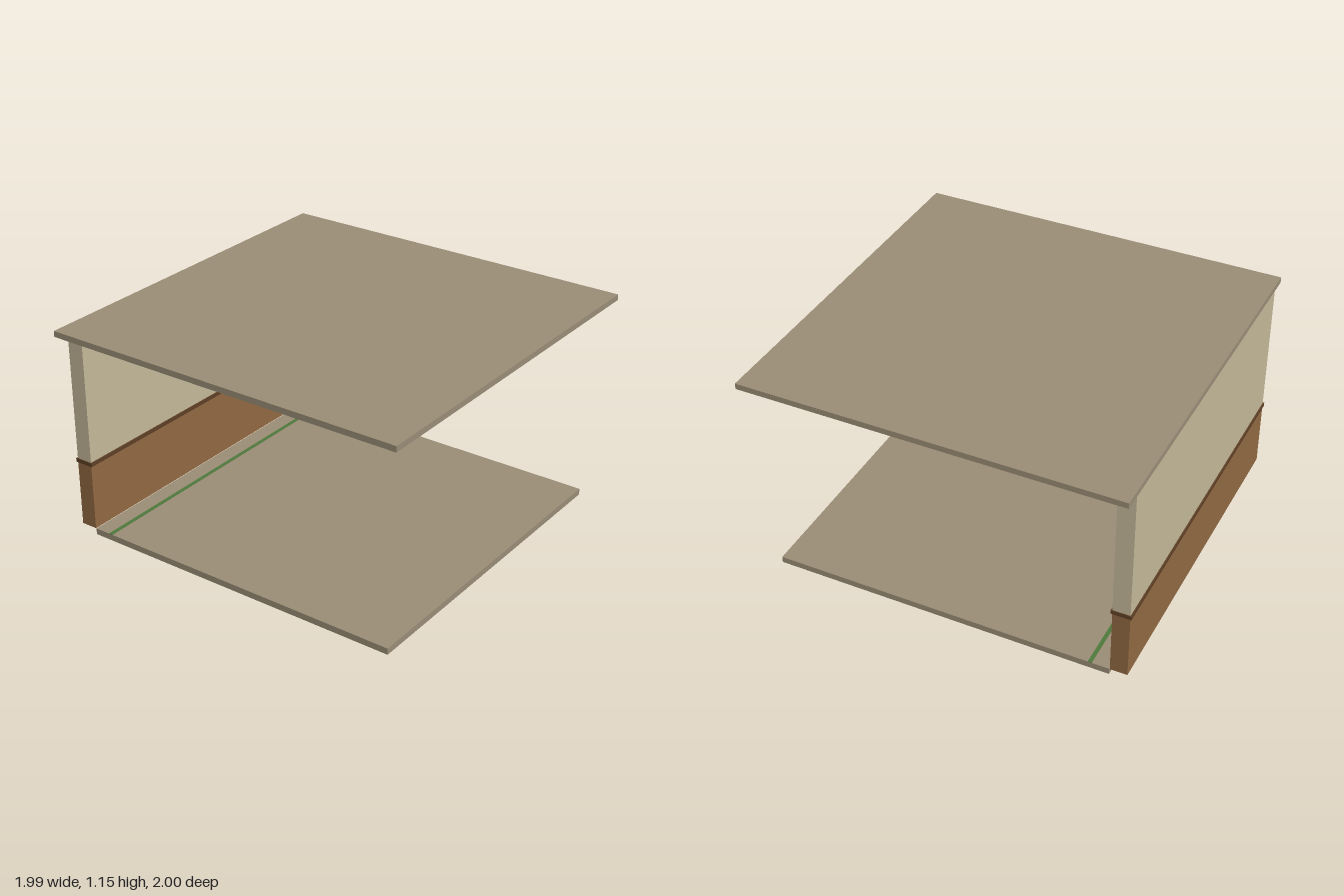
import * as THREE from 'three';

const mat = (name, color) => {
  const m = new THREE.MeshStandardMaterial({ color });
  m.name = name;
  return m;
};

export function createModel() {
  const group = new THREE.Group();
  const stone = mat('taupe slab', 0x9a8d76);
  const plaster = mat('cream plaster', 0xc4b898);
  const wood = mat('brown wood', 0x916942);
  const darkWood = mat('dark wood', 0x5f4026);
  const green = mat('green line', 0x4f7a3c);
  const metal = mat('dark metal', 0x2b343b);

  // Box given by its limits on each axis
  const box = (name, material, [x0, x1], [y0, y1], [z0, z1], parent = group) => {
    const mesh = new THREE.Mesh(new THREE.BoxGeometry(x1 - x0, y1 - y0, z1 - z0), material);
    mesh.position.set((x0 + x1) / 2, (y0 + y1) / 2, (z0 + z1) / 2);
    mesh.name = name;
    parent.add(mesh);
  };

  // Slabs
  box('floor', stone, [-0.905, 0.905], [0, 0.034], [-0.9, 0.91]);
  box('ceiling', stone, [-0.995, 0.995], [1.121, 1.152], [-0.993, 1]);

  // Back wall: panelling, rail and plaster
  box('wallPanelling', wood, [-0.905, 0.905], [0.034, 0.395], [-0.993, -0.903]);
  box('wallRail', darkWood, [-0.91, 0.91], [0.395, 0.416], [-1, -0.896]);
  box('upperWall', plaster, [-0.905, 0.905], [0.416, 1.121], [-0.993, -0.903]);

  // Line along the floor in front of the wall
  box('floorLine', green, [-0.905, 0.905], [0.034, 0.037], [-0.81, -0.79]);

  // Four square frames under the ceiling
  for (const x of [-0.453, 0.453]) {
    for (const z of [-0.453, 0.453]) {
      const frame = new THREE.Group();
      frame.name = 'ceilingFrame';
      frame.position.set(x, 0, z);
      for (const s of [-1, 1]) {
        const side = [s * 0.142 - 0.011, s * 0.142 + 0.011];
        box('frameLongBar', metal, [-0.153, 0.153], [1.107, 1.121], side, frame);
        box('frameShortBar', metal, side, [1.101, 1.121], [-0.131, 0.131], frame);
      }
      group.add(frame);
    }
  }
  return group;
}
